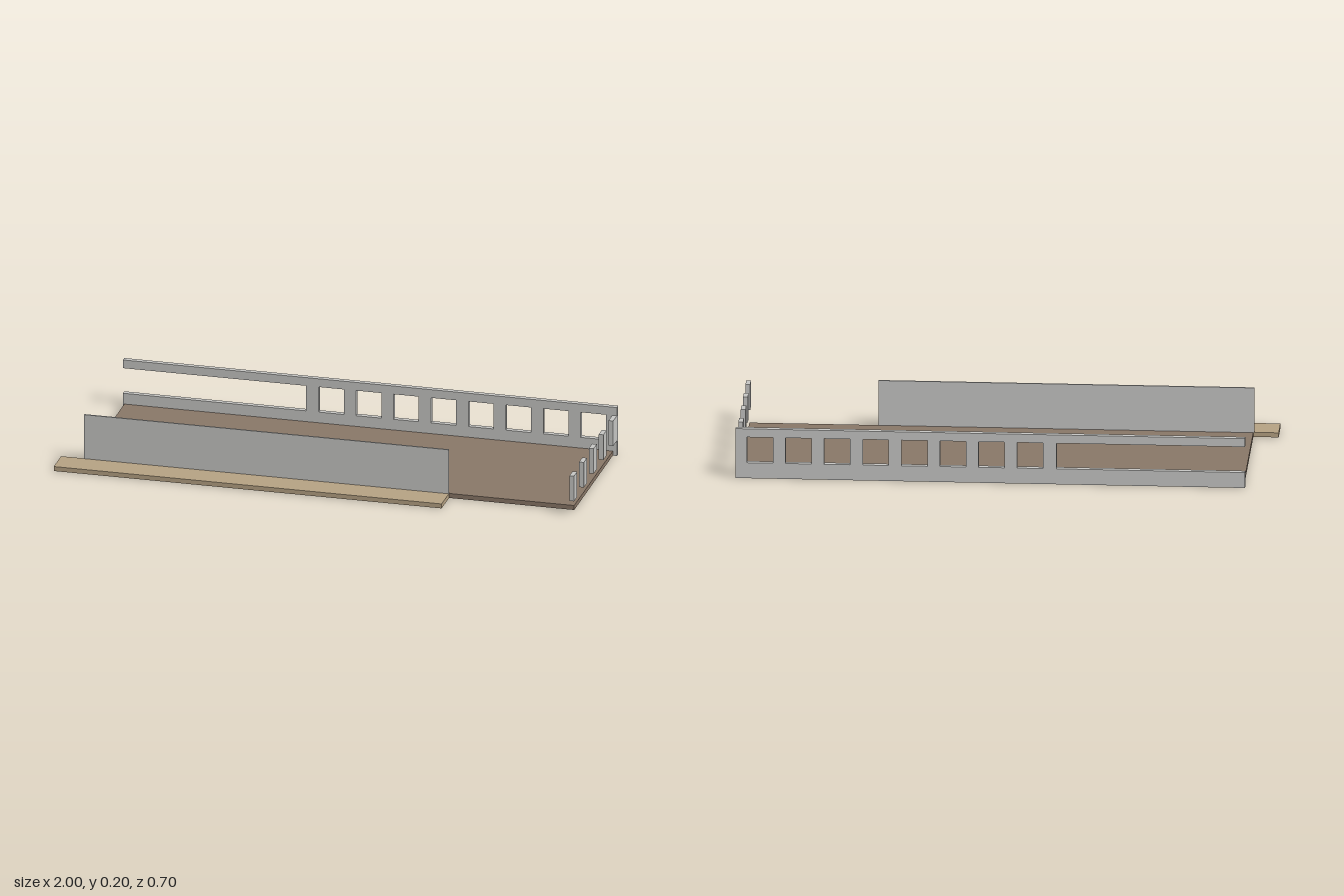
import * as THREE from 'three';

export function createModel() {
  const model = new THREE.Group();
  model.name = 'building';

  const material = (name, color) => {
    const m = new THREE.MeshStandardMaterial({ color });
    m.name = name;
    return m;
  };
  const wallGrey = material('wallGrey', 0xc9c9c7);
  const floorBrown = material('floorBrown', 0x8b7969);
  const walkwayTan = material('walkwayTan', 0xb8a485);

  // Box given by its lower and upper corner
  const box = (name, mat, [x0, y0, z0], [x1, y1, z1]) => {
    const mesh = new THREE.Mesh(new THREE.BoxGeometry(x1 - x0, y1 - y0, z1 - z0), mat);
    mesh.position.set((x0 + x1) / 2, (y0 + y1) / 2, (z0 + z1) / 2);
    mesh.name = name;
    model.add(mesh);
  };
  const slab = 0.018, sill = 0.061, head = 0.162, top = 0.195;

  // Floor, front walkway and solid front wall
  box('floor', floorBrown, [-0.905, 0, -0.33], [0.984, slab, 0.24]);
  box('walkway', walkwayTan, [-1, 0, 0.242], [0.5, slab, 0.35]);
  box('frontWall', wallGrey, [-0.91, slab, 0.238], [0.5, top, 0.244]);

  // Back wall outline: the left bay is open ended, the rest has eight windows
  const left = -0.91, right = 1, bayEnd = -0.203;
  const outline = [
    [left, 0], [right, 0], [right, top], [left, top],
    [left, head], [bayEnd, head], [bayEnd, sill], [left, sill],
  ];
  const shape = new THREE.Shape(outline.map(([x, y]) => new THREE.Vector2(x, y)));
  for (let i = 0; i < 8; i++) {
    const x1 = 0.957 - i * 0.1447, x0 = x1 - 0.097;
    const hole = [[x0, sill], [x0, head], [x1, head], [x1, sill]];
    shape.holes.push(new THREE.Path(hole.map(([x, y]) => new THREE.Vector2(x, y))));
  }
  const backWall = new THREE.Mesh(
    new THREE.ExtrudeGeometry(shape, { depth: 0.02, bevelEnabled: false }), wallGrey);
  backWall.position.z = -0.35;
  backWall.name = 'backWall';
  model.add(backWall);

  // Piers between the openings of the left end; the last one meets the back wall
  for (let i = 0; i < 5; i++) {
    const z1 = 0.304 - i * 0.1447;
    const z0 = i === 4 ? -0.33 : z1 - 0.047;
    box('windowPier', wallGrey, [0.982, sill, z0], [1, head, z1]);
  }

  return model;
}
